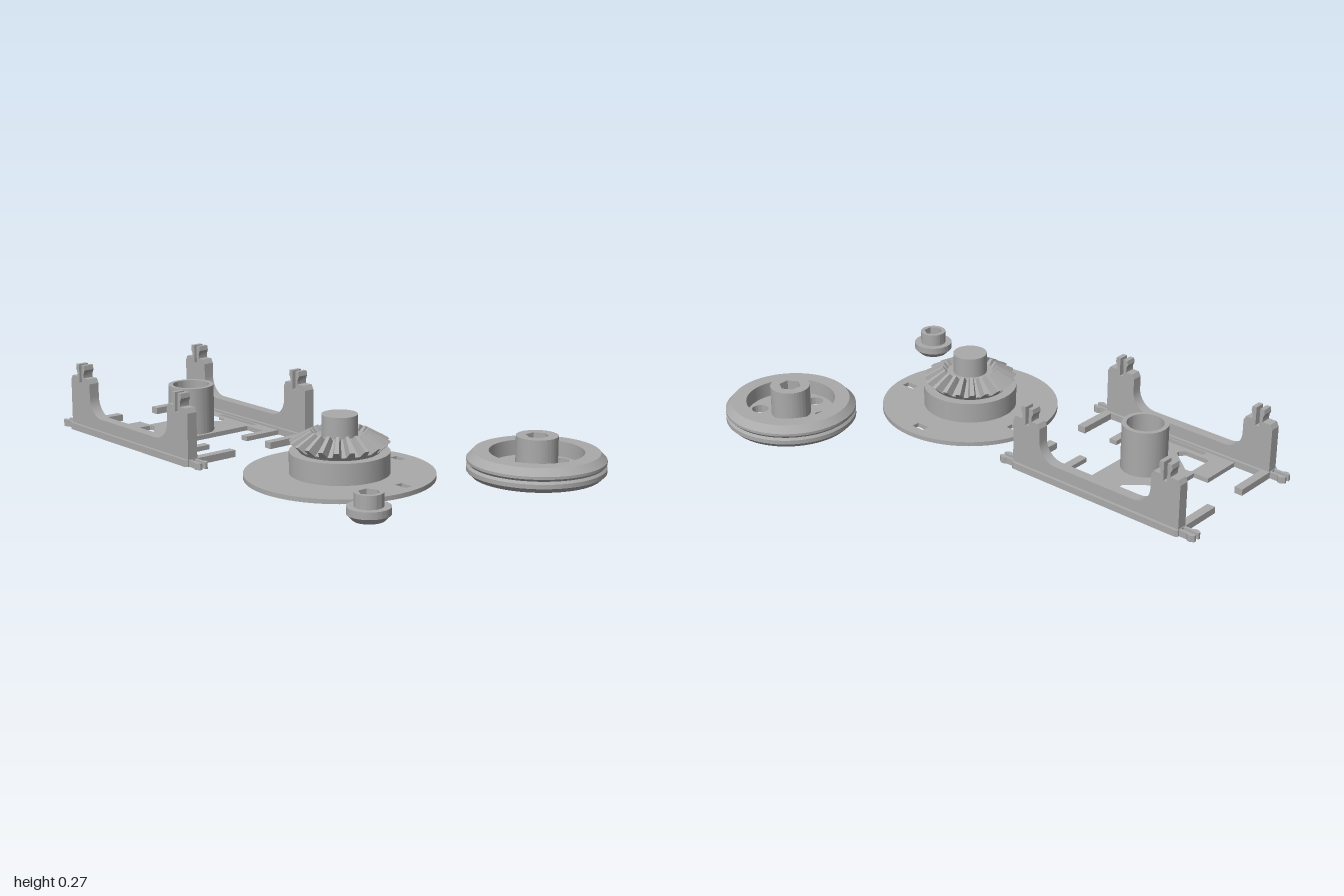
import * as THREE from 'three';
import { toCreasedNormals } from 'three/addons/utils/BufferGeometryUtils.js';
import { ConvexGeometry } from 'three/addons/geometries/ConvexGeometry.js';

const grey = new THREE.MeshStandardMaterial({ color: 0xaaaaaa });
grey.name = 'plain grey';

function add(group, name, geometry, x = 0, y = 0, z = 0) {
  const mesh = new THREE.Mesh(geometry, grey);
  mesh.name = name;
  mesh.position.set(x, y, z);
  group.add(mesh);
  return mesh;
}

function part(parent, name, x, z) {
  const group = new THREE.Group();
  group.name = name;
  group.position.set(x, 0, z);
  parent.add(group);
  return group;
}

const polygon = (points) => new THREE.Shape(points.map(([x, y]) => new THREE.Vector2(x, y)));
const circle = (r, x = 0, y = 0) => new THREE.Shape().absarc(x, y, r, 0, Math.PI * 2, false);
const rect = (x0, y0, x1, y1) => polygon([[x0, y0], [x1, y0], [x1, y1], [x0, y1]]);

// Hexagon with corners pointing along the second axis
const hexagon = (r) => polygon(Array.from({ length: 6 }, (_, i) => {
  const a = Math.PI / 6 + i * Math.PI / 3;
  return [r * Math.cos(a), r * Math.sin(a)];
}));

function extrude(shape, depth, holes = []) {
  shape.holes.push(...holes);
  const g = new THREE.ExtrudeGeometry(shape, { depth, bevelEnabled: false, curveSegments: 48 });
  return toCreasedNormals(g, 0.5);
}

// Flat-lying plate: shape coordinates are x and z, standing on y = 0
const slab = (shape, height, holes) => extrude(shape, height, holes).rotateX(Math.PI / 2).translate(0, height, 0);

function lathe(points, segments = 72) {
  const g = new THREE.LatheGeometry(points.map(([r, y]) => new THREE.Vector2(r, y)), segments);
  return toCreasedNormals(g, 0.4);
}

function buildFrame(root) {
  const frame = part(root, 'frame', -0.548, 0.257);

  // Floor plate: right half-outline mirrored across z
  const edge = [[-0.172, 0.08], [-0.236, 0.08], [-0.236, 0.255], [0.233, 0.255],
    [0.233, 0.09], [0.2, 0.09], [0.2, 0.198], [0.1, 0.198]];
  const outline = [...edge, ...edge.map(([x, z]) => [x, -z]).reverse()];
  const holes = [circle(0.07)];
  for (const s of [-1, 1]) {
    holes.push(polygon([[-0.157, 0.09], [-0.15, 0.083], [-0.13, 0.083], [-0.03, 0.165],
      [-0.03, 0.18], [-0.05, 0.2], [-0.145, 0.2], [-0.157, 0.188]].map(([x, z]) => [x, s * z])));
    holes.push(rect(-0.113, s * 0.22, 0.106, s * 0.243));
  }
  add(frame, 'floorPlate', slab(polygon(outline), 0.018, holes));
  add(frame, 'centreTube', slab(circle(0.088), 0.2, [circle(0.07)]));

  // Side wall with two towers, each ending in a split clip
  const half = [[0.382, 0], [0.382, 0.2], [0.372, 0.218], [0.338, 0.218], [0.338, 0.235],
    [0.345, 0.25], [0.342, 0.268], [0.324, 0.268], [0.324, 0.195], [0.308, 0.195],
    [0.308, 0.268], [0.29, 0.268], [0.287, 0.25], [0.294, 0.235], [0.294, 0.218],
    [0.265, 0.218], [0.255, 0.2]];
  for (let i = 0; i <= 10; i++) {
    const a = -i * Math.PI / 20;
    half.push([0.18 + 0.075 * Math.cos(a), 0.147 + 0.075 * Math.sin(a)]);
  }
  const wallPoints = [...half, ...half.map(([x, y]) => [-x, y]).reverse()];
  const wall = extrude(polygon(wallPoints), 0.042).translate(0, 0, -0.021);
  const rail = slab(polygon([[-0.385, -0.025], [-0.375, -0.033], [0.375, -0.033], [0.385, -0.025],
    [0.385, 0.025], [0.375, 0.033], [-0.375, 0.033], [-0.385, 0.025]]), 0.026);
  const prong = [[0.38, 0.007], [0.45, 0.007], [0.45, 0.017], [0.438, 0.026], [0.426, 0.026],
    [0.418, 0.019], [0.38, 0.019]];

  for (const s of [-1, 1]) {
    add(frame, 'sideWall', wall, 0, 0, s * 0.281);
    add(frame, 'sideRail', rail, 0, 0, s * 0.281);
    for (const e of [-1, 1]) {
      // Finger reaching inward, and the split peg at the rail end
      add(frame, 'finger', new THREE.BoxGeometry(0.034, 0.026, 0.175), e * 0.368, 0.013, s * 0.172);
      for (const k of [-1, 1]) {
        add(frame, 'endPeg', slab(polygon(prong.map(([x, z]) => [e * x, k * z])), 0.025), 0, 0, s * 0.281);
      }
    }
  }
}

function buildBevelGear(root) {
  const gear = part(root, 'bevelGear', 0.297, 0.226);
  const slots = [[0, -0.288], [-0.28, -0.053], [0.28, -0.053]]
    .map(([x, z]) => rect(x - 0.027, z - 0.016, x + 0.027, z + 0.016));
  add(gear, 'basePlate', slab(circle(0.348), 0.017, slots));
  add(gear, 'drum', new THREE.CylinderGeometry(0.183, 0.183, 0.082, 72), 0, 0.056, 0);
  add(gear, 'gearCone', lathe([[0.06, 0.09], [0.14, 0.09], [0.155, 0.11], [0.09, 0.155], [0.06, 0.155]]));
  add(gear, 'shaft', new THREE.CylinderGeometry(0.066, 0.066, 0.14, 48), 0, 0.163, 0);

  // Tapered teeth: [radius, height, half width] at the four corner edges
  const corners = [[0.143, 0.098, 0.019], [0.182, 0.133, 0.009], [0.085, 0.148, 0.012], [0.107, 0.175, 0.006]];
  const tooth = new ConvexGeometry(corners.flatMap(([r, y, w]) =>
    [new THREE.Vector3(r, y, w), new THREE.Vector3(r, y, -w)]));
  const count = 20;
  for (let i = 0; i < count; i++) {
    add(gear, 'gearTooth', tooth).rotation.y = (i + 0.5) * 2 * Math.PI / count;
  }
}

function buildWheel(root) {
  const wheel = part(root, 'wheel', 0.744, -0.327);
  add(wheel, 'rim', lathe([[0.173, 0], [0.236, 0], [0.254, 0.018], [0.254, 0.034], [0.246, 0.043],
    [0.254, 0.052], [0.254, 0.062], [0.23, 0.088], [0.173, 0.088], [0.173, 0]], 96));
  const holes = [circle(0.077)];
  for (let i = 0; i < 6; i++) {
    const a = Math.PI / 6 + i * Math.PI / 3;
    holes.push(circle(0.032, 0.128 * Math.cos(a), 0.128 * Math.sin(a)));
  }
  add(wheel, 'web', slab(circle(0.173), 0.03, holes));
  add(wheel, 'hub', slab(circle(0.077), 0.147, [hexagon(0.043)]));
}

function buildBushing(root) {
  const bushing = part(root, 'bushing', 0.757, 0.5);
  add(bushing, 'flange', lathe([[0.05, 0], [0.055, 0], [0.077, 0.022], [0.077, 0.048], [0.05, 0.048]]));
  add(bushing, 'collar', slab(circle(0.051), 0.097, [hexagon(0.038)]));
}

export function createModel() {
  const model = new THREE.Group();
  model.name = 'mechanicalKit';
  buildFrame(model);
  buildBevelGear(model);
  buildWheel(model);
  buildBushing(model);
  return model;
}
